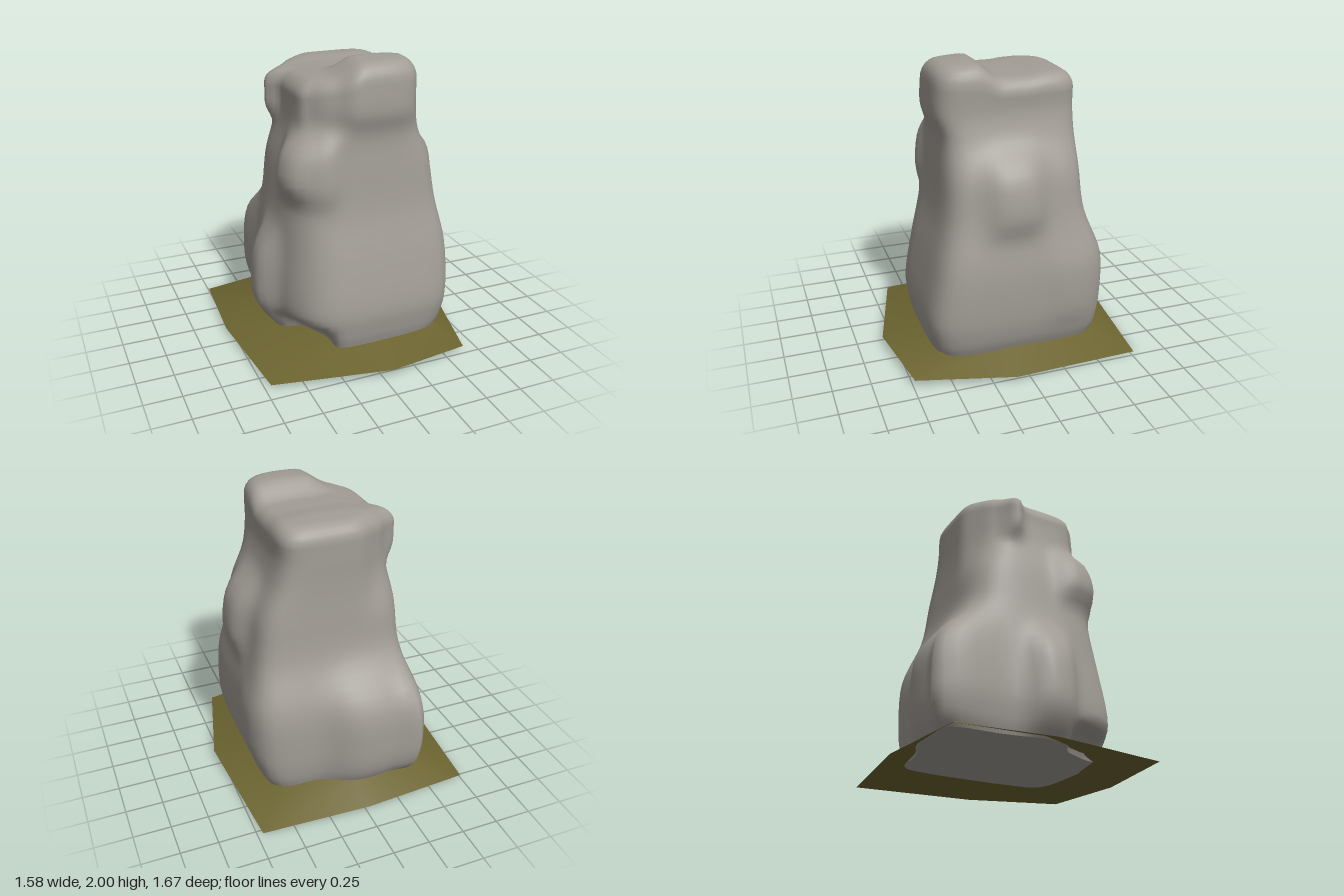
import * as THREE from 'three';

const SEG = 80;
const smooth = (a, b, v) => THREE.MathUtils.smoothstep(v, a, b);

// Boulder cross-sections: y, left-hand x, right-hand x, back z, front z
const SECTIONS = [
  [0.12, -0.46, 0.57, -0.56, 0.56],
  [0.22, -0.49, 0.61, -0.585, 0.585],
  [0.4, -0.51, 0.64, -0.6, 0.6],
  [0.72, -0.49, 0.64, -0.59, 0.545],
  [1.02, -0.455, 0.585, -0.485, 0.48],
  [1.3, -0.425, 0.54, -0.455, 0.455],
  [1.52, -0.375, 0.45, -0.445, 0.445],
  [1.68, -0.36, 0.41, -0.445, 0.485],
  [1.8, -0.36, 0.41, -0.445, 0.48],
];

// Lumps and hollows: x, y, z, shift in x, shift in z, horizontal radius, vertical radius
const LUMPS = [
  [-0.15, 0.42, -0.6, 0, -0.13, 0.3, 0.46], // back hump
  [-0.45, 0.42, -0.52, -0.05, -0.15, 0.14, 0.46], // back corner
  [-0.51, 0.48, 0, -0.11, 0, 0.16, 0.33], // low side knob
  [-0.4, 0.12, 0.38, 0.12, -0.06, 0.2, 0.14], // undercut front corner
  [-0.42, 1.33, 0.25, -0.085, 0.03, 0.14, 0.19], // shoulder
  [-0.32, 1.3, 0.43, -0.01, 0.05, 0.15, 0.2],
  [-0.37, 1.73, -0.23, -0.08, 0.01, 0.1, 0.18], // crown spur
  [-0.32, 1.75, -0.42, 0, 0.07, 0.18, 0.4], // cut corner behind the spur
  [-0.28, 1.75, 0.46, 0.02, -0.07, 0.17, 0.2], // recess beside the front block
  [0.56, 1.21, 0.04, 0.09, 0, 0.19, 0.25], // right-hand bulge
  [0.64, 0.55, -0.33, 0.02, 0, 0.15, 0.25],
];

// Smooth interpolation between the cross-sections
function sectionAt(u) {
  const last = SECTIONS.length - 1;
  const i = Math.min(Math.floor(u), last - 1), t = u - i;
  const at = (k) => SECTIONS[THREE.MathUtils.clamp(k, 0, last)];
  return SECTIONS[0].map((_, c) => {
    const [a, b, d, e] = [at(i - 1)[c], at(i)[c], at(i + 1)[c], at(i + 2)[c]];
    return b + 0.5 * t * (d - a + t * (2 * a - 5 * b + 4 * d - e + t * (3 * (b - d) + e - a)));
  });
}

// One closed ring of the boulder, a rounded box shifted by the lumps
function rockRing(u, scale = 1, lift = 0) {
  const [y, xl, xr, zb, zf] = sectionAt(u);
  const ring = [];
  for (let j = 0; j < SEG; j++) {
    const a = (j / SEG) * Math.PI * 2, c = Math.cos(a), s = Math.sin(a);
    const n = 4.8 + 1.4 * c - 0.6 * s + (c + 0.4) * smooth(-1.2, -0.7, -y);
    const r = Math.pow(Math.abs(c) ** n + Math.abs(s) ** n, -1 / n);
    const x0 = (xl + xr) / 2 + ((xr - xl) / 2) * r * c;
    const z0 = (zb + zf) / 2 + ((zf - zb) / 2) * r * s;
    let x = x0, z = z0;
    for (const [bx, by, bz, dx, dz, rh, rv] of LUMPS) {
      const d = ((x0 - bx) ** 2 + (z0 - bz) ** 2) / rh ** 2;
      const w = Math.exp(-(d ** 1.8) - ((y - by) / rv) ** 4);
      x += dx * w;
      z += dz * w;
    }
    x = 0.02 + (x - 0.02) * scale;
    z = 0.02 + (z - 0.02) * scale;
    // domed front block, low left-hand edge and slight back ridge on the crown
    const h = y + lift;
    const dome = 0.095 - 0.2 * ((x - 0.17) ** 2 + (z - 0.27) ** 2);
    const crown = dome * smooth(0.06, 0.22, z) * smooth(-0.18, 0.02, x)
      - 0.04 * smooth(0.1, 0.42, -x) + 0.015 * smooth(0.08, 0.25, -z);
    ring.push([x, h + crown * smooth(1.65, 1.88, h), z]);
  }
  return ring;
}

// Skin a stack of closed rings
function loft(rings) {
  const n = rings[0].length, index = [];
  for (let i = 0; i < rings.length - 1; i++) {
    for (let j = 0; j < n; j++) {
      const a = i * n + j, b = i * n + ((j + 1) % n);
      index.push(a, a + n, b, b, a + n, b + n);
    }
  }
  const geometry = new THREE.BufferGeometry();
  geometry.setAttribute('position', new THREE.Float32BufferAttribute(rings.flat(2), 3));
  geometry.setIndex(index);
  geometry.computeVertexNormals();
  return geometry;
}

export function createModel() {
  const group = new THREE.Group();
  const stone = new THREE.MeshStandardMaterial({ color: 0xa29d96 });
  stone.name = 'stone';
  const grass = new THREE.MeshStandardMaterial({ color: 0x6c6430, side: THREE.DoubleSide });
  grass.name = 'dry grass';

  const add = (name, geometry, material) => {
    const mesh = new THREE.Mesh(geometry, material);
    mesh.name = name;
    group.add(mesh);
  };

  // Boulder sides, rounded top edge and gently domed crown
  const top = SECTIONS.length - 1, rings = [];
  for (let i = 0; i <= top * 5; i++) rings.push(rockRing(i / 5));
  for (let i = 1; i <= 6; i++) {
    const a = (i / 6) * Math.PI / 2;
    rings.push(rockRing(top, 1 - 0.24 * (1 - Math.cos(a)), 0.1 * Math.sin(a)));
  }
  for (let i = 1; i <= 10; i++) {
    const k = 1 - i / 10;
    rings.push(rockRing(top, 0.76 * k, 0.1 + 0.012 * (1 - k * k)));
  }
  add('boulder', loft(rings), stone);

  // Flat underside of the boulder
  add('boulderUnderside', loft([rockRing(0, 0), rockRing(0)]), stone);

  // Ground skirt, open in the middle
  const outer = [
    [0.79, 0.04, 0.1], [0.63, 0.05, 0.74], [0.06, 0.06, 0.83], [-0.71, 0.02, 0.63],
    [-0.79, 0.03, -0.14], [-0.75, 0.02, -0.78], [-0.02, 0.03, -0.84], [0.71, 0, -0.78],
  ];
  const inner = [
    [0.55, 0.14, 0.02], [0.5, 0.15, 0.49], [0.06, 0.125, 0.54], [-0.24, 0.16, 0.38],
    [-0.42, 0.16, -0.03], [-0.43, 0.15, -0.61], [-0.02, 0.14, -0.63], [0.5, 0.14, -0.5],
  ];
  add('groundSkirt', loft([outer, inner]), grass);

  return group;
}
